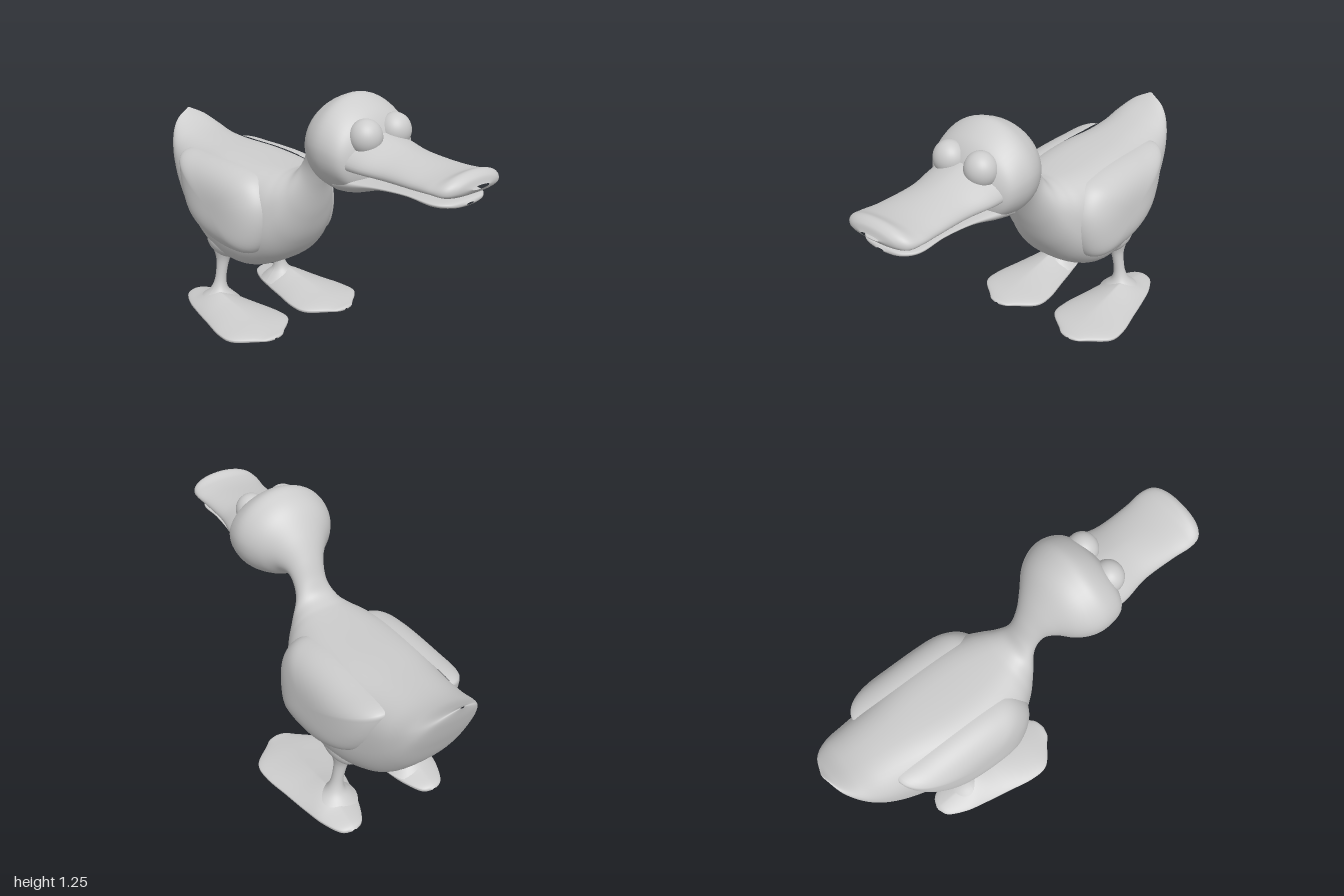
import * as THREE from 'three';

const V = (x, y, z = 0) => new THREE.Vector3(x, y, z);

// Smooth surface from a grid of points, closed around its columns
function grid(rows, cols, point, flip = false) {
  const pos = [], idx = [];
  for (let i = 0; i <= rows; i++)
    for (let j = 0; j < cols; j++) pos.push(...point(i / rows, j / cols));
  for (let i = 0; i < rows; i++)
    for (let j = 0; j < cols; j++) {
      const k = (j + 1) % cols;
      const a = i * cols + j, b = (i + 1) * cols + j, c = (i + 1) * cols + k, d = i * cols + k;
      if (flip) idx.push(a, d, b, b, d, c);
      else idx.push(a, b, d, b, c, d);
    }
  const g = new THREE.BufferGeometry();
  g.setAttribute('position', new THREE.Float32BufferAttribute(pos, 3));
  g.setIndex(idx);
  g.computeVertexNormals();
  return g;
}

// Loft through stations: [topX, topY, bottomX, bottomY, halfWidth, upperPower, lowerPower, widestHeight]
function loft(stations, rows = 80, cols = 48) {
  const curve = (f) => new THREE.CatmullRomCurve3(stations.map(f), false, 'catmullrom', 0.5);
  const top = curve((s) => V(s[0], s[1], s[7] ?? 0.5));
  const bottom = curve((s) => V(s[2], s[3]));
  const shape = curve((s) => V(s[4], s[5] ?? 2, s[6] ?? s[5] ?? 2));
  return grid(rows, cols, (u, v) => {
    const t = top.getPoint(u), b = bottom.getPoint(u), q = shape.getPoint(u);
    const a = v * Math.PI * 2, c = Math.cos(a), s = Math.sin(a);
    const e = 2 / (s >= 0 ? q.y : q.z);
    const rise = Math.abs(s) ** e;
    const k = s >= 0 ? t.z + (1 - t.z) * rise : t.z * (1 - rise);
    return [b.x + (t.x - b.x) * k, b.y + (t.y - b.y) * k,
      Math.max(q.x, 0.001) * Math.sign(c) * Math.abs(c) ** e];
  });
}

export function createModel() {
  const model = new THREE.Group();
  model.name = 'duck';
  const grey = new THREE.MeshStandardMaterial({ color: 0xcccccc });
  grey.name = 'light grey';
  const add = (name, geometry, x = 0, y = 0, z = 0) => {
    const m = new THREE.Mesh(geometry, grey);
    m.name = name;
    m.position.set(x, y, z);
    model.add(m);
    return m;
  };

  // Tail, body, neck and head in one flowing skin
  add('body', loft([
    [-1, 0.932, -1, 0.925, 0.01],
    [-0.97, 0.908, -0.975, 0.83, 0.1],
    [-0.9, 0.87, -0.925, 0.69, 0.165, 2.3],
    [-0.8, 0.845, -0.84, 0.51, 0.205, 2.4],
    [-0.65, 0.832, -0.7, 0.355, 0.235, 2.6],
    [-0.45, 0.825, -0.48, 0.272, 0.265, 3],
    [-0.25, 0.818, -0.27, 0.268, 0.265, 3],
    [-0.11, 0.818, -0.11, 0.34, 0.235, 2.6],
    [-0.05, 0.825, -0.01, 0.46, 0.19, 2.3],
    [0, 0.85, 0.05, 0.6, 0.135],
    [0.035, 0.91, 0.095, 0.76, 0.085],
    [0.075, 1.0, 0.14, 0.865, 0.088],
    [0.13, 1.1, 0.175, 0.885, 0.13],
    [0.2, 1.19, 0.225, 0.85, 0.195],
    [0.27, 1.235, 0.29, 0.832, 0.235, 1.9, 2.1],
    [0.34, 1.248, 0.37, 0.823, 0.245, 1.9, 2.1],
    [0.43, 1.195, 0.45, 0.845, 0.222, 1.9, 2.1],
    [0.48, 1.12, 0.48, 0.87, 0.16],
    [0.5, 1.04, 0.5, 0.92, 0.07],
    [0.505, 0.99, 0.505, 0.97, 0.005],
  ], 160));

  // Bill: arched upper half and shallow lower half
  add('upperBill', loft([
    [0.4, 1.13, 0.4, 0.955, 0.2, 1.7, 3, 0.25],
    [0.52, 1.095, 0.51, 0.957, 0.19, 1.7, 3, 0.25],
    [0.64, 1.066, 0.64, 0.957, 0.165, 1.8, 3, 0.28],
    [0.8, 1.046, 0.8, 0.966, 0.167, 2, 3, 0.3],
    [0.9, 1.047, 0.89, 0.976, 0.176, 2, 3, 0.3],
    [0.955, 1.064, 0.95, 0.972, 0.165, 2, 3, 0.3],
    [0.988, 1.048, 0.98, 0.98, 0.125, 2, 2.5, 0.35],
    [1, 1.016, 1, 1.0, 0.05, 2, 2, 0.5],
  ]));
  add('lowerBill', loft([
    [0.38, 0.932, 0.38, 0.835, 0.19, 3, 2, 0.7],
    [0.47, 0.93, 0.47, 0.855, 0.17, 3, 2, 0.7],
    [0.6, 0.935, 0.6, 0.9, 0.148, 3, 2, 0.7],
    [0.75, 0.945, 0.75, 0.918, 0.142, 3, 2, 0.7],
    [0.88, 0.948, 0.88, 0.91, 0.145, 3, 2, 0.7],
    [0.94, 0.945, 0.94, 0.916, 0.1, 3, 2, 0.6],
    [0.957, 0.934, 0.957, 0.926, 0.02, 2, 2, 0.5],
  ]));

  // Wing outline, swept into a shallow dome
  const wingEdge = new THREE.CatmullRomCurve3([
    [-0.755, 0.785], [-0.58, 0.802], [-0.26, 0.8], [-0.14, 0.77], [-0.07, 0.67], [-0.07, 0.54],
    [-0.125, 0.42], [-0.23, 0.395], [-0.47, 0.42], [-0.63, 0.5], [-0.715, 0.62], [-0.757, 0.75],
  ].map(([x, y]) => V(x, y)), true);
  const wing = (side) => grid(32, 80, (u, v) => {
    const s = Math.cos(u * Math.PI / 2), p = wingEdge.getPoint(v);
    const x = -0.37 + (p.x + 0.37) * s, y = 0.6 + (p.y - 0.6) * s;
    const rim = 0.185 - (y - 0.6) * 0.1;
    return [x, y, side * (rim + (0.325 - 0.185) * Math.sqrt(Math.max(0, 1 - s ** 3.2)))];
  }, side < 0);

  // Webbed foot, symmetric about its own centre line
  const foot = loft([
    [-0.668, 0.022, -0.668, 0.012, 0.01, 2, 3, 0.5],
    [-0.64, 0.038, -0.64, 0, 0.06, 1.6, 4, 0.5],
    [-0.55, 0.06, -0.55, 0, 0.105, 1.4, 4, 0.35],
    [-0.45, 0.095, -0.45, 0, 0.13, 1.2, 4, 0.2],
    [-0.32, 0.08, -0.32, 0, 0.157, 1.3, 4, 0.24],
    [-0.18, 0.062, -0.18, 0, 0.185, 1.5, 4, 0.32],
    [-0.08, 0.05, -0.08, 0.003, 0.175, 1.7, 4, 0.4],
    [0, 0.038, 0, 0.008, 0.085, 2, 3, 0.5],
    [0.03, 0.034, 0.03, 0.012, 0.05, 2, 2, 0.5],
    [0.042, 0.027, 0.042, 0.02, 0.008, 2, 2, 0.5],
  ]);

  // Leg profile flaring into foot and body
  const legProfile = new THREE.SplineCurve([
    [0.12, 0.03], [0.085, 0.06], [0.048, 0.095], [0.031, 0.14], [0.029, 0.2], [0.036, 0.26], [0.055, 0.31],
  ].map(([r, y]) => new THREE.Vector2(r, y))).getPoints(32);

  for (const [name, side] of [['left', 1], ['right', -1]]) {
    add(name + 'Wing', wing(side));
    add(name + 'Foot', foot, 0, 0, side * 0.232);

    // Leg leans inwards towards the body
    const leg = new THREE.LatheGeometry(legProfile, 32);
    const p = leg.attributes.position;
    for (let i = 0; i < p.count; i++) p.setZ(i, p.getZ(i) + side * (0.225 - 0.19 * p.getY(i)));
    leg.computeVertexNormals();
    add(name + 'Leg', leg, -0.465);

    const ball = new THREE.SphereGeometry(1, 32, 24);
    add(name + 'Thigh', ball, -0.45, 0.365, side * 0.165).scale.set(0.13, 0.085, 0.075);
    add(name + 'Eye', ball, 0.468, 1.098, side * 0.086).scale.set(0.072, 0.078, 0.075);
  }
  return model;
}
